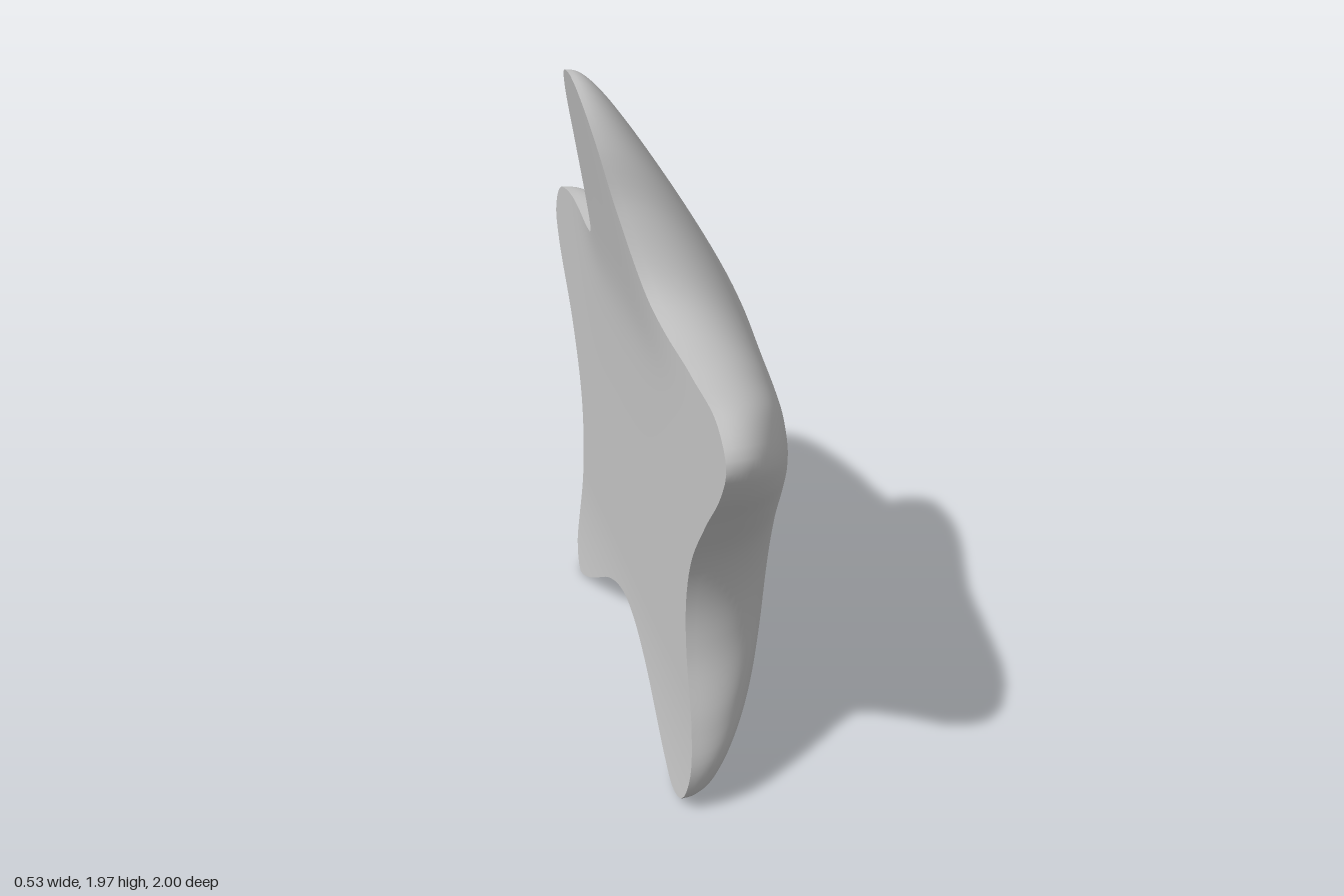
import * as THREE from 'three';

// Star outline as [z, y], from the top arm round by +z
const OUTLINE = [
  [0.02, 1.97], [0.08, 1.955], [0.14, 1.9], [0.19, 1.81], [0.245, 1.65], [0.365, 1.455], [0.49, 1.39],
  [0.7, 1.36], [0.92, 1.335], [1, 1.255], [0.96, 1.155], [0.835, 1.0], [0.71, 0.82],
  [0.665, 0.66], [0.675, 0.5], [0.74, 0.29], [0.765, 0.155], [0.73, 0.05], [0.65, 0.02],
  [0.525, 0.055], [0.245, 0.19], [0.11, 0.24], [0, 0.257], [-0.11, 0.24], [-0.235, 0.19],
  [-0.475, 0.045], [-0.595, 0.005], [-0.675, 0.07], [-0.685, 0.165], [-0.645, 0.395],
  [-0.63, 0.555], [-0.655, 0.7], [-0.77, 0.905], [-0.96, 1.12], [-1, 1.22], [-0.93, 1.32],
  [-0.77, 1.36], [-0.45, 1.355], [-0.34, 1.38], [-0.275, 1.505], [-0.18, 1.72],
  [-0.11, 1.885], [-0.05, 1.955],
];
const CENTRE_Y = 0.85;
const PEAK_Y = 0.95;
const SEGMENTS = 220;

// Flat back, slightly turned, with the top arm leaning backward
function backX(z, y) {
  const d = y - 1.27;
  const topLean = 0.11 * (d + Math.sqrt(d * d + 0.01)) * Math.exp(-((z / 0.5) ** 4));
  const footLean = 0.2 * Math.max(0, 0.4 - y) ** 2;
  return -0.112 + 0.037 * z - topLean - footLean;
}

// Dome thickness: thins along the arms, fastest at the top, and rounds off at the rim
function thickness(z, y, t) {
  const r = Math.hypot(z, y - PEAK_Y);
  const up = Math.max(0, y - PEAK_Y) / r;
  const falloff = 0.72 - 0.12 * (z / r) + 0.41 * up * up;
  return 0.377 * Math.exp(-falloff * r * r) * Math.pow(1 - t ** 6, 0.4);
}

// Concentric star-shaped rings from the centre out to the rim
function starSurface(rim, rings, xAt, flip) {
  const positions = [xAt(0, CENTRE_Y, 0), CENTRE_Y, 0];
  const index = [];
  const n = rim.length;
  const tri = (a, b, c) => (flip ? index.push(a, c, b) : index.push(a, b, c));
  for (let k = 1; k <= rings; k++) {
    const t = k === rings ? 1 : Math.sin((k / rings) * Math.PI / 2);
    for (let i = 0; i < n; i++) {
      const z = rim[i].z * t;
      const y = CENTRE_Y + (rim[i].y - CENTRE_Y) * t;
      positions.push(xAt(z, y, t), y, z);
      const j = (i + 1) % n;
      const outer = 1 + (k - 1) * n;
      const inner = outer - n;
      if (k === 1) {
        tri(0, outer + i, outer + j);
      } else {
        tri(inner + i, outer + i, outer + j);
        tri(inner + i, outer + j, inner + j);
      }
    }
  }
  const geometry = new THREE.BufferGeometry();
  geometry.setAttribute('position', new THREE.Float32BufferAttribute(positions, 3));
  geometry.setIndex(index);
  geometry.computeVertexNormals();
  return geometry;
}

export function createModel() {
  const group = new THREE.Group();
  group.name = 'star';
  const grey = new THREE.MeshStandardMaterial({ color: 0xc4c4c4 });
  grey.name = 'grey';

  const curve = new THREE.CatmullRomCurve3(
    OUTLINE.map(([z, y]) => new THREE.Vector3(0, y, z)), true, 'centripetal');
  const rim = curve.getSpacedPoints(SEGMENTS).slice(0, SEGMENTS);

  // Rounded outer face
  const dome = new THREE.Mesh(
    starSurface(rim, 40, (z, y, t) => backX(z, y) + thickness(z, y, t), false), grey);
  dome.name = 'dome';

  // Flat face behind it, meeting the dome at a sharp rim
  const back = new THREE.Mesh(starSurface(rim, 40, backX, true), grey);
  back.name = 'flatBack';

  group.add(dome, back);
  return group;
}
